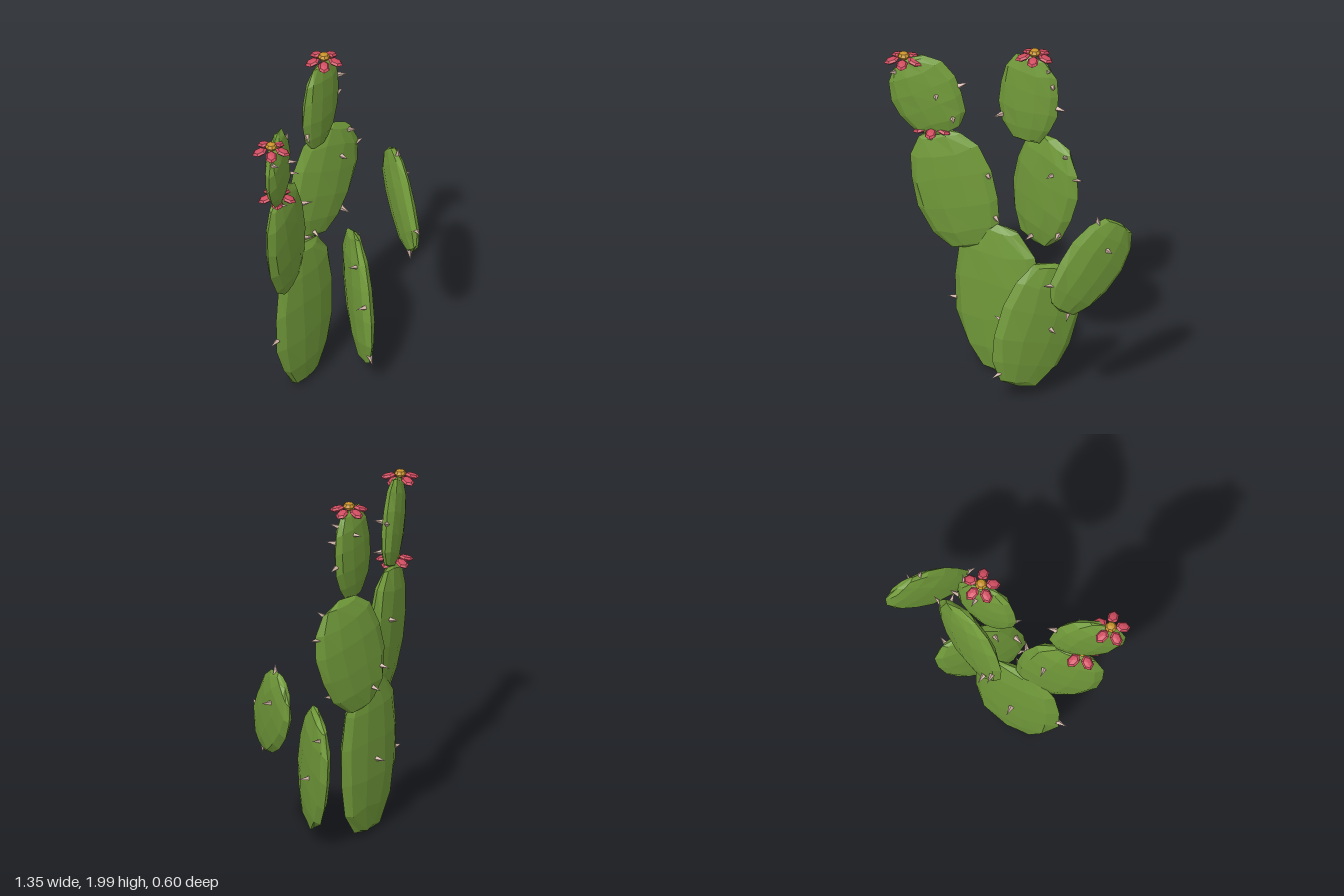
import * as THREE from 'three';

const mat = (name, color, flat = true) => {
  const m = new THREE.MeshStandardMaterial({ color, flatShading: flat });
  m.name = name;
  return m;
};

// Small repeatable wobble in -1..1 taken from a position
const wobble = (x, y, z, k) => {
  const s = Math.sin(x * 12.9 + y * 78.2 + z * 37.7 + k * 19.3) * 4375.85;
  return (s - Math.floor(s)) * 2 - 1;
};

// Flattened, faceted pad: half width a, half height b, half thickness t
function padGeometry(a, b, t, seed) {
  const g = new THREE.SphereGeometry(1, 10, 7);
  const p = g.attributes.position;
  for (let i = 0; i < p.count; i++) {
    const [x, y, z] = [p.getX(i), p.getY(i), p.getZ(i)].map((v) => Math.round(v * 1000) / 1000 + 0);
    const w = (k) => 0.035 * wobble(x, y, z, seed + k);
    const wide = 1 + 0.16 * y * y + 0.05 * y;
    p.setXYZ(i, a * (x * wide + w(1)), b * (y * (Math.abs(y) > 0.99 ? 0.98 : 1.02) + w(2)), t * (z * wide + w(3)));
  }
  g.computeVertexNormals();
  return g;
}

// Pads: centre, half sizes, yaw, roll; spines are [across, up, side] on the unit pad
const PADS = [
  { name: 'basePad', at: [-0.09, 0.455, -0.12], size: [0.255, 0.45, 0.057], yaw: 0, roll: 0.03,
    spines: [[-1, -0.1, 0], [0, -0.03, -1]] },
  { name: 'rightMiddlePad', at: [-0.325, 1.08, -0.075], size: [0.23, 0.36, 0.055], yaw: 0.22, roll: 0.25,
    spines: [[0.9, 0.17, 1], [0.8, -0.53, 1], [-0.2, 0.9, 1], [0.4, 0.2, -1]] },
  { name: 'rightTopPad', at: [-0.465, 1.63, -0.025], size: [0.185, 0.245, 0.05], yaw: 0.38, roll: 0.45,
    spines: [[-0.5, 0.83, 1], [0.3, 0, 1], [1, -0.05, 0], [0.4, -0.65, 1]] },
  { name: 'leftMiddlePad', at: [0.155, 1.14, -0.175], size: [0.22, 0.345, 0.052], yaw: -0.29, roll: -0.25,
    spines: [[0.25, 0.46, 1], [0.42, 0.86, 1], [0.82, 0.57, 0], [0.75, -0.54, 1], [0, -0.87, 1],
      [-0.7, -0.44, -1], [-0.33, -0.7, -1]] },
  { name: 'leftTopPad', at: [0.08, 1.695, -0.135], size: [0.17, 0.265, 0.047], yaw: 0.05, roll: -0.08,
    spines: [[1, -0.05, 0], [0.8, 0.45, 1], [-0.83, -0.5, 1], [0.6, 0.76, 1], [0.2, 0.5, -1]] },
  { name: 'frontPad', at: [0.205, 0.44, 0.025], size: [0.235, 0.365, 0.052], yaw: 0.89, roll: -0.3,
    spines: [[-0.57, 0.57, -1], [-0.86, 0, -1], [-0.57, -0.82, 0], [0.28, 0, 1], [0.45, 0.8, 1]] },
  { name: 'outerPad', at: [0.54, 0.89, 0.06], size: [0.195, 0.29, 0.045], yaw: 0.97, roll: -0.7,
    spines: [[-0.64, 0.77, 0], [0, 0.43, 1], [-0.75, -0.66, 0], [0.3, -0.95, 0]] },
];

// Flowers: position of the underside of the petals' hub
const FLOWERS = [
  { name: 'leftFlower', at: [0.113, 1.96, -0.137] },
  { name: 'rightFlower', at: [-0.585, 1.845, 0.015] },
  { name: 'middleFlower', at: [-0.445, 1.435, -0.045] },
];

export function createModel() {
  const green = mat('padGreen', 0x719a3a);
  const pale = mat('spineBeige', 0xcbaea3);
  const pink = mat('petalPink', 0xd04c60);
  const gold = mat('flowerGold', 0xc9932b);
  const model = new THREE.Group();
  model.name = 'cactus';

  const up = new THREE.Vector3(0, 1, 0);
  const spineGeo = new THREE.ConeGeometry(0.016, 0.06, 4).translate(0, 0.022, 0);

  PADS.forEach((d, n) => {
    const pad = new THREE.Group();
    pad.name = d.name;
    pad.position.set(...d.at);
    pad.rotation.set(0, d.yaw, d.roll, 'YXZ');
    const body = new THREE.Mesh(padGeometry(...d.size, n * 7), green);
    body.name = d.name + 'Body';
    pad.add(body);

    // Spines stand along the pad's surface normal
    const size = new THREE.Vector3(...d.size);
    d.spines.forEach(([u, v, side]) => {
      const dir = new THREE.Vector3(u, v, side * Math.sqrt(Math.max(0, 1 - u * u - v * v))).normalize();
      const spine = new THREE.Mesh(spineGeo, pale);
      spine.name = 'spine';
      spine.position.copy(dir).multiply(size);
      spine.quaternion.setFromUnitVectors(up, dir.divide(size).normalize());
      pad.add(spine);
    });
    model.add(pad);
  });

  // Five drooping petals around a gold hub
  const petalGeo = new THREE.SphereGeometry(1, 6, 4).scale(0.043, 0.015, 0.032);
  const hubGeo = new THREE.SphereGeometry(1, 8, 4).scale(0.032, 0.022, 0.032);
  FLOWERS.forEach((f) => {
    const flower = new THREE.Group();
    flower.name = f.name;
    flower.position.set(...f.at);
    for (let i = 0; i < 5; i++) {
      const arm = new THREE.Group();
      arm.name = 'petalArm';
      arm.rotation.y = (i * Math.PI * 2) / 5;
      const petal = new THREE.Mesh(petalGeo, pink);
      petal.name = 'petal';
      petal.position.set(0.064, -0.005, 0);
      petal.rotation.z = -0.3;
      arm.add(petal);
      flower.add(arm);
    }
    const hub = new THREE.Mesh(hubGeo, gold);
    hub.name = 'flowerHub';
    hub.position.y = 0.018;
    flower.add(hub);
    model.add(flower);
  });
  return model;
}
